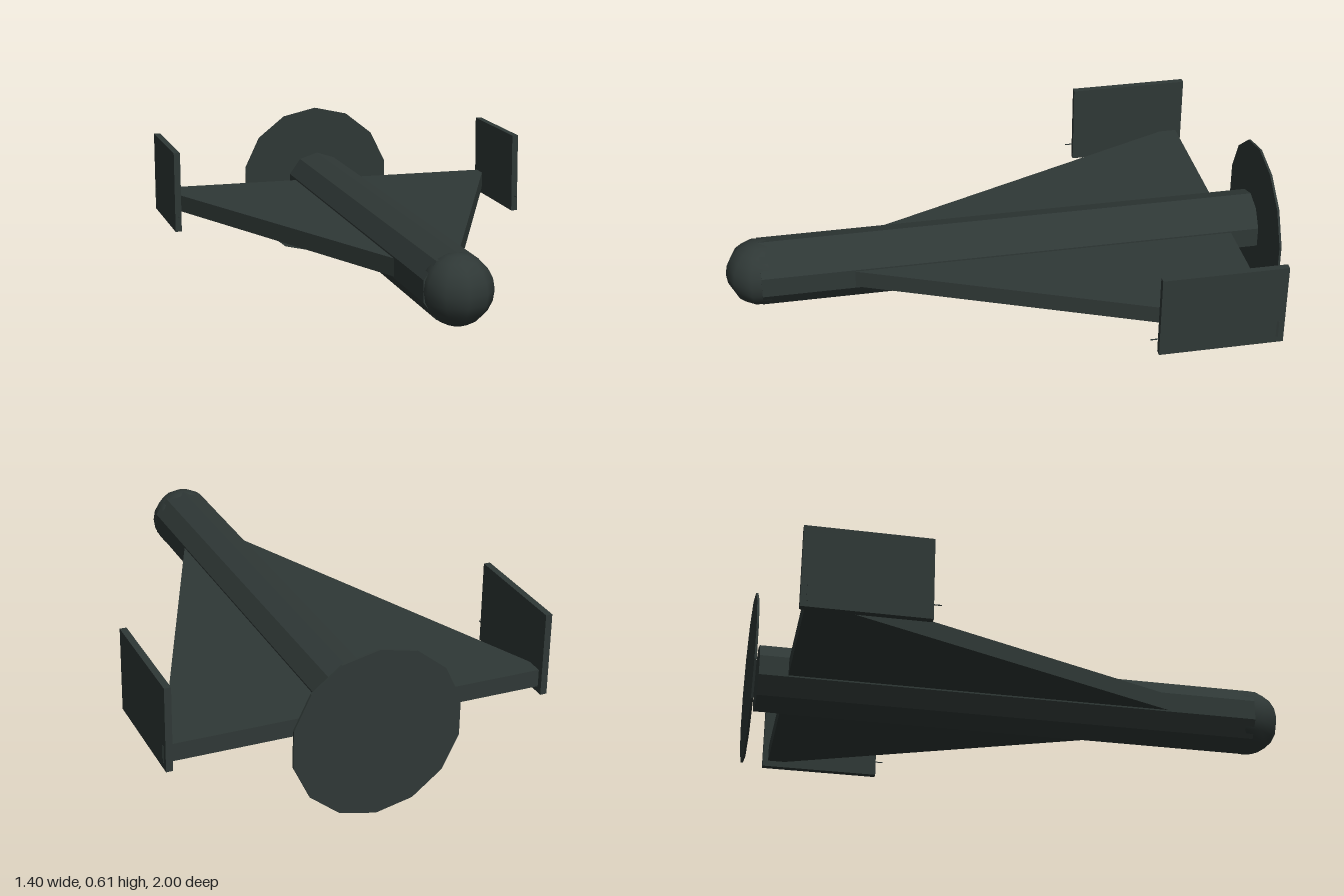
import * as THREE from 'three';

export function createModel() {
  const group = new THREE.Group();
  const axisY = 0.31; // height of the fuselage axis

  const hull = new THREE.MeshStandardMaterial({ color: 0x2f3836, name: 'dark hull grey' });
  // Same hull colour for every part; faceted parts get flat normals from their geometry.
  const add = (name, geometry, x, y, z, faceted = true) => {
    let g = geometry;
    if (faceted) {
      g = geometry.index ? geometry.toNonIndexed() : geometry;
      g.computeVertexNormals();
    }
    const mesh = new THREE.Mesh(g, hull);
    mesh.name = name;
    mesh.position.set(x, y, z);
    group.add(mesh);
    return mesh;
  };

  // Ten-sided fuselage with an edge on top
  add('fuselage', new THREE.CylinderGeometry(0.122, 0.122, 1.847, 10).rotateX(-Math.PI / 2), 0, axisY, -0.0465);

  // Smooth rounded nose
  add('nose', new THREE.SphereGeometry(0.122, 10, 10, Math.PI / 2), 0, axisY, 0.877, false);

  // Thin propeller disc behind the tail
  add('propellerDisc', new THREE.CylinderGeometry(0.307, 0.307, 0.008, 14).rotateX(-Math.PI / 2), 0, axisY, -0.995);

  // Delta wing: one triangular slab passing through the fuselage
  const delta = new THREE.Shape([
    new THREE.Vector2(-0.698, -0.865),
    new THREE.Vector2(0.698, -0.865),
    new THREE.Vector2(0, 0.82),
  ]);
  const wing = new THREE.ExtrudeGeometry(delta, { depth: 0.064, bevelEnabled: false }).rotateX(Math.PI / 2);
  add('deltaWing', wing, 0, 0.342, 0);

  // Wing-tip fins, each with a tiny forward probe
  for (const [side, s] of [['left', 1], ['right', -1]]) {
    add(side + 'Fin', new THREE.BoxGeometry(0.024, 0.306, 0.446), s * 0.683, 0.408, -0.663);
    add(side + 'Probe', new THREE.BoxGeometry(0.003, 0.003, 0.03), s * 0.683, 0.315, -0.426);
  }

  return group;
}
